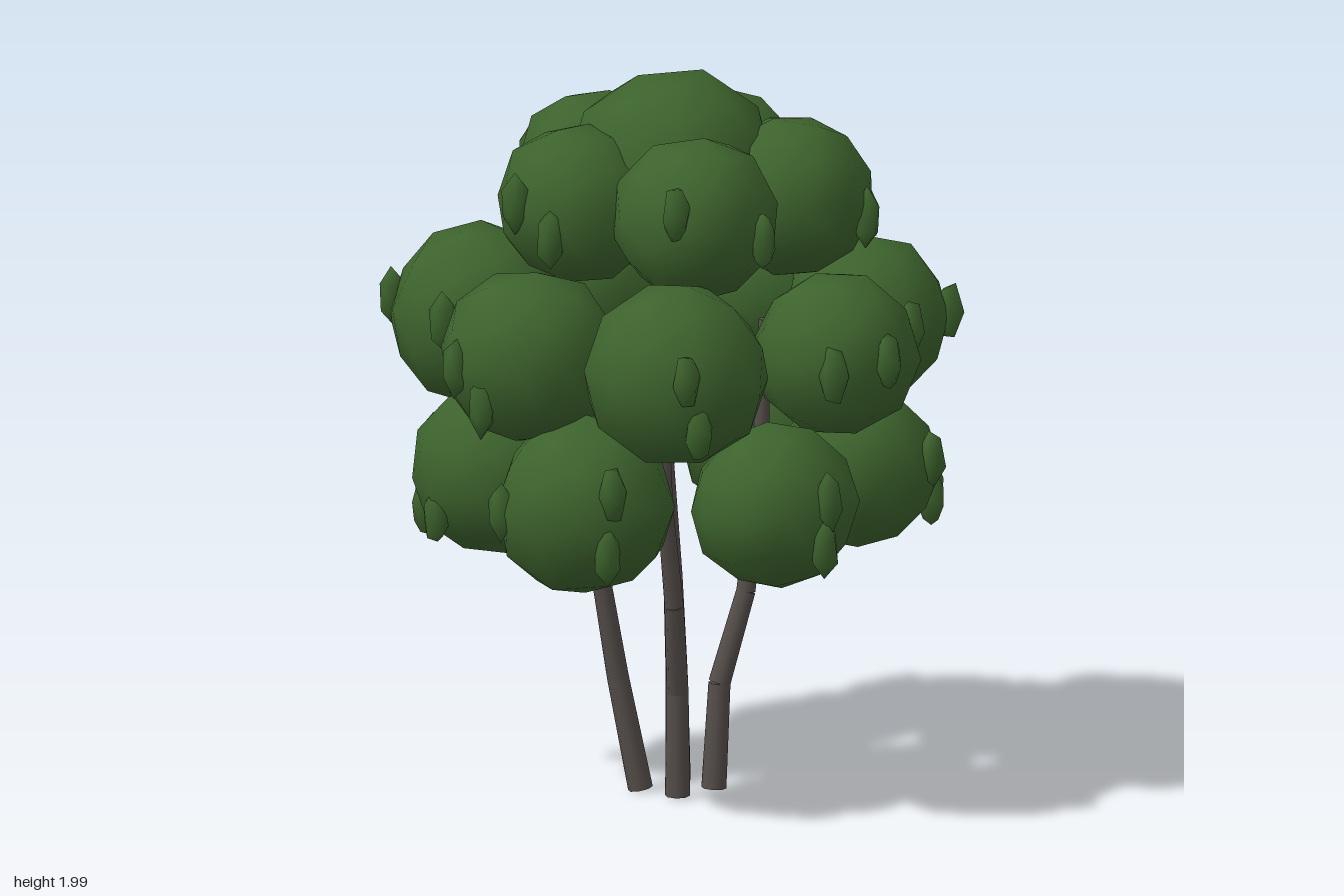
import * as THREE from 'three';
import { mergeVertices } from 'three/addons/utils/BufferGeometryUtils.js';

const material = (name, color) => {
  const m = new THREE.MeshStandardMaterial({ color });
  m.name = name;
  return m;
};

// Seeded generator for the uneven foliage
let seed = 7;
const rand = () => {
  seed = (seed * 16807) % 2147483647;
  return seed / 2147483647;
};

// Slightly uneven low-poly ball with smooth normals
function lump(radius, detail, jitter) {
  let g = new THREE.IcosahedronGeometry(1, detail);
  g.deleteAttribute('normal');
  g.deleteAttribute('uv');
  g = mergeVertices(g, 1e-3);
  g.rotateX(rand() * 6).rotateY(rand() * 6);
  const p = g.attributes.position;
  for (let i = 0; i < p.count; i++) {
    const r = radius * (1 + jitter * (rand() * 2 - 1));
    p.setXYZ(i, p.getX(i) * r, p.getY(i) * r, p.getZ(i) * r);
  }
  g.computeVertexNormals();
  return g;
}

// Foliage clumps: x, y, z, radius, then leaf tufts as [angle in degrees from +x towards +z, height offset]
const lowerClumps = [
  [-0.43, 0.9, 0.2, 0.24, [[110, 0.08], [113, -0.09], [200, 0]]],
  [-0.04, 0.9, 0.53, 0.22, [[85, 0.05], [88, -0.08]]],
  [0.42, 0.9, 0.32, 0.215, [[60, 0.04], [35, -0.09], [20, -0.07]]],
  [0.48, 0.9, -0.15, 0.23, [[-2, 0.04], [-45, -0.06]]],
  [0.12, 0.9, -0.45, 0.235, [[-55, 0], [-28, -0.05]]],
  [-0.34, 0.9, -0.28, 0.24, [[180, -0.1], [-125, -0.12], [-100, 0.03]]],
];
const middleClumps = [
  [-0.31, 1.29, 0.44, 0.245, [[122, 0.04], [112, -0.11]]],
  [0.18, 1.29, 0.52, 0.22, [[88, 0.02], [130, -0.01], [25, 0.06]]],
  [0.5, 1.29, 0.26, 0.22, [[-20, -0.09], [40, 0.02]]],
  [0.51, 1.29, -0.19, 0.22, [[10, 0], [-45, -0.02], [-75, 0.05]]],
  [0.13, 1.3, -0.48, 0.235, [[-105, 0.05], [-72, 0], [-28, -0.03]]],
  [-0.32, 1.3, -0.4, 0.24, [[-130, 0.04], [152, 0.03]]],
  [-0.49, 1.29, 0.03, 0.235, [[186, 0], [165, -0.1]]],
];
const upperClumps = [
  [-0.13, 1.67, 0.3, 0.22, [[143, 0.06], [72, -0.03]]],
  [0.25, 1.67, 0.25, 0.215, [[58, -0.05], [22, -0.07]]],
  [0.27, 1.67, -0.09, 0.22, [[12, -0.03], [-48, -0.02]]],
  [0.0, 1.67, -0.29, 0.215, [[-62, 0], [-105, 0.02]]],
  [-0.27, 1.67, -0.03, 0.215, [[182, 0.03], [150, -0.05]]],
];
const crownClump = [[0.02, 1.72, 0.01, 0.277, []]];

// Bent stems as paths of points
const stems = [
  [[-0.022, 0.01, 0.09], [-0.03, 0.3, 0.1], [-0.09, 0.56, 0.16], [-0.15, 0.85, 0.195], [-0.18, 1.3, 0.21]],
  [[-0.05, 0.01, -0.035], [-0.1, 0.32, -0.07], [-0.15, 0.6, -0.08], [-0.2, 1.1, -0.1], [-0.21, 1.4, -0.1]],
  [[0.108, 0.01, 0.085], [0.125, 0.3, 0.088], [0.195, 0.55, 0.115], [0.24, 0.9, 0.12], [0.25, 1.3, 0.13]],
  [[0.085, 0.01, -0.04], [0.11, 0.3, -0.078], [0.155, 0.55, -0.15], [0.155, 0.9, -0.185], [0.18, 1.5, -0.2]],
];

export function createModel() {
  const green = material('leaf green', 0x3d632d);
  const bark = material('bark grey', 0x564f4b);
  const model = new THREE.Group();
  model.name = 'tree';

  // Stems: tapering cylinders joined end to end
  const up = new THREE.Vector3(0, 1, 0);
  stems.forEach((points, s) => {
    const stem = new THREE.Group();
    stem.name = `stem${s + 1}`;
    for (let i = 0; i < points.length - 1; i++) {
      const a = new THREE.Vector3(...points[i]);
      const b = new THREE.Vector3(...points[i + 1]);
      const dir = b.clone().sub(a);
      const r = 0.034 - i * 0.004;
      const mesh = new THREE.Mesh(new THREE.CylinderGeometry(r - 0.004, r, dir.length(), 8), bark);
      mesh.name = 'stemSegment';
      mesh.position.copy(a).add(b).multiplyScalar(0.5);
      mesh.quaternion.setFromUnitVectors(up, dir.normalize());
      stem.add(mesh);
    }
    model.add(stem);
  });

  // Foliage tiers: round clumps with upright leaf tufts on their outer faces
  const tiers = { lowerFoliage: lowerClumps, middleFoliage: middleClumps, upperFoliage: upperClumps, crown: crownClump };
  for (const [name, clumps] of Object.entries(tiers)) {
    const tier = new THREE.Group();
    tier.name = name;
    for (const [x, y, z, r, tufts] of clumps) {
      const clump = new THREE.Mesh(lump(r * 1.03, 1, 0.035), green);
      clump.name = 'foliageClump';
      clump.position.set(x, y, z);
      tier.add(clump);
      for (const [deg, dy] of tufts) {
        const a = THREE.MathUtils.degToRad(deg);
        const d = Math.sqrt(r * r - dy * dy);
        const tuft = new THREE.Mesh(lump(1, 0, 0.08), green);
        tuft.name = 'leafTuft';
        tuft.scale.set(0.04, 0.086, 0.04);
        tuft.position.set(x + d * Math.cos(a), y + dy, z + d * Math.sin(a));
        tier.add(tuft);
      }
    }
    model.add(tier);
  }
  return model;
}
